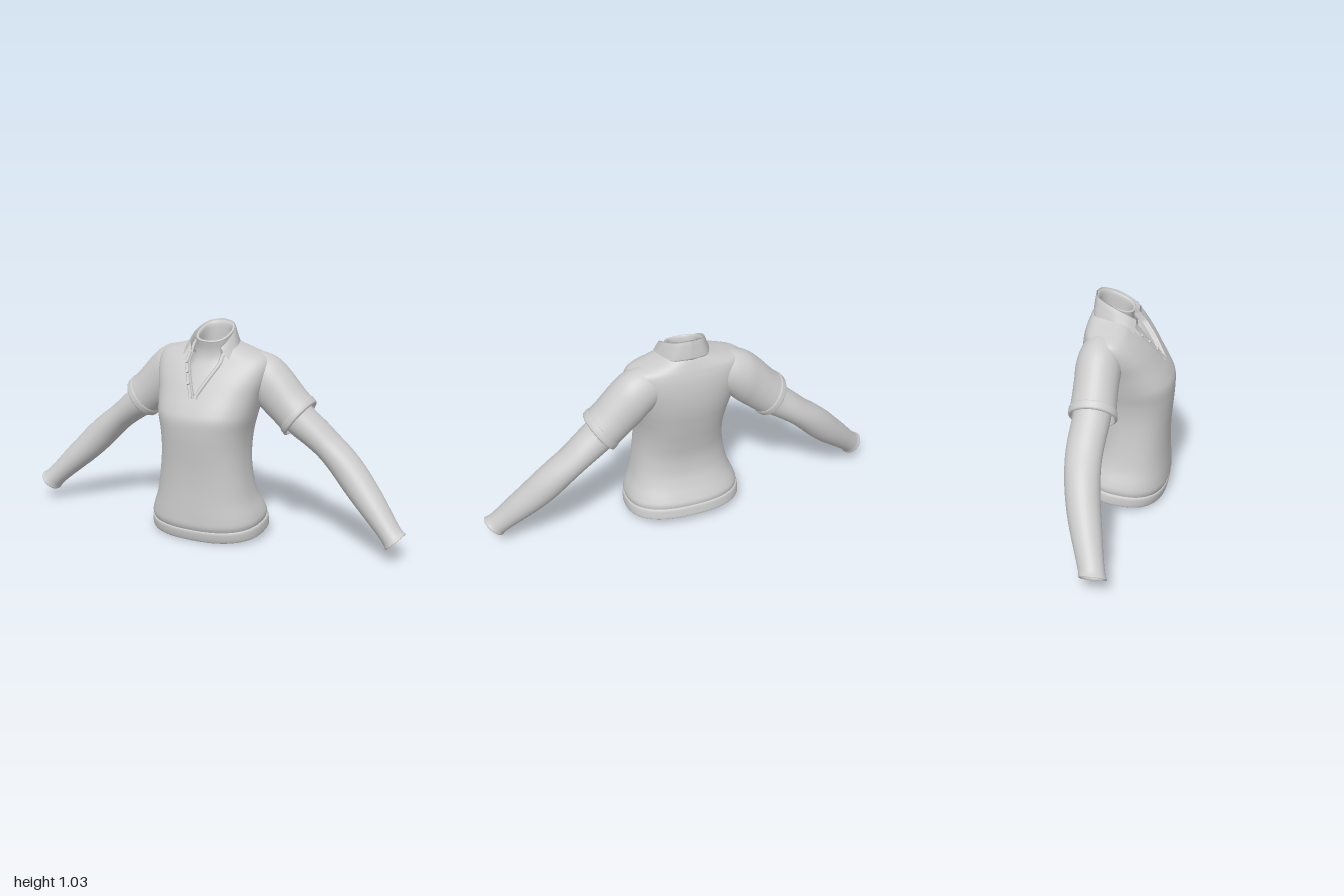
import * as THREE from 'three';

const cloth = new THREE.MeshStandardMaterial({ color: 0xcccccc, side: THREE.DoubleSide });

// Smooth interpolation through a table of rows, t in 0..rows-1
function rowAt(rows, t) {
  const n = rows.length - 1, i = Math.min(Math.floor(t), n - 1), f = t - i;
  const p = (k) => rows[Math.max(0, Math.min(n, k))];
  return rows[0].map((_, c) => {
    const a = p(i - 1)[c], b = p(i)[c], d = p(i + 1)[c], e = p(i + 2)[c];
    return b + 0.5 * f * (d - a + f * (2 * a - 5 * b + 4 * d - e + f * (3 * (b - d) + e - a)));
  });
}

// Grid surface from fn(u, v) -> [x, y, z]; normals are joined where the sides meet
function surface(name, nu, nv, fn) {
  const pos = [], index = [], w = nu + 1;
  for (let j = 0; j <= nv; j++) for (let i = 0; i <= nu; i++) pos.push(...fn(i / nu, j / nv));
  for (let j = 0; j < nv; j++) for (let i = 0; i < nu; i++) {
    const a = j * w + i;
    index.push(a, a + 1, a + w, a + 1, a + w + 1, a + w);
  }
  const g = new THREE.BufferGeometry();
  g.setAttribute('position', new THREE.Float32BufferAttribute(pos, 3));
  g.setIndex(index);
  g.computeVertexNormals();
  const P = g.attributes.position, N = g.attributes.normal;
  const v = (attr, k) => new THREE.Vector3().fromBufferAttribute(attr, k);
  for (let j = 0; j <= nv; j++) {
    const a = j * w, b = a + nu;
    if (v(P, a).distanceTo(v(P, b)) > 1e-4) continue;
    const m = v(N, a).add(v(N, b)).normalize();
    N.setXYZ(a, m.x, m.y, m.z);
    N.setXYZ(b, m.x, m.y, m.z);
  }
  const mesh = new THREE.Mesh(g, cloth);
  mesh.name = name;
  return mesh;
}

// Point on a rounded body section; row = [y, halfWidth, frontZ, backZ, tilt]
const POWER = 0.82;
const spow = (s) => Math.sign(s) * Math.pow(Math.abs(s), POWER);
function bodyPoint([y, w, f, b, tilt], th) {
  const c = (f + b) / 2, z = c + (f - b) / 2 * spow(Math.cos(th));
  return [w * spow(Math.sin(th)), y - (z - c) * tilt, z];
}

const torsoRows = [
  [0.08, 0.28, 0.20, -0.21, 0.13], [0.105, 0.284, 0.21, -0.21, 0.12], [0.14, 0.274, 0.21, -0.195, 0.1],
  [0.2, 0.25, 0.207, -0.168, 0.06], [0.27, 0.234, 0.205, -0.147, 0.02], [0.36, 0.221, 0.208, -0.142, 0],
  [0.45, 0.216, 0.216, -0.157, 0], [0.53, 0.222, 0.223, -0.175, 0], [0.6, 0.237, 0.223, -0.19, 0],
  [0.65, 0.247, 0.203, -0.2, 0], [0.71, 0.26, 0.168, -0.207, 0], [0.78, 0.28, 0.125, -0.208, 0],
  [0.84, 0.288, 0.08, -0.201, 0], [0.88, 0.27, 0.045, -0.19, 0], [0.905, 0.205, 0.03, -0.18, 0],
  [0.93, 0.125, 0.02, -0.168, 0], [0.95, 0.09, 0.01, -0.155, 0],
];
const V_ROW = 10, V_Y = 0.71;

// Angle of the neck opening's edge, moved sideways by extra
function openingAngle(row, extra = 0) {
  const h = Math.min(0.075, Math.max(0, (row[0] - V_Y) * 0.52)) + extra;
  return Math.asin(Math.pow(Math.min(1, h / row[1]), 1 / POWER));
}

// Ring loft for arms; row = [x, y, z, half height, half depth, lean of the axis]
function limb(name, rows, side, steps) {
  return surface(name, 32, (rows.length - 1) * steps, (u, v) => {
    const [x, y, z, r, rz, lean] = rowAt(rows, v * (rows.length - 1));
    const th = u * Math.PI * 2, k = r * Math.cos(th);
    return [side * (x + k * Math.sin(lean)), y + k * Math.cos(lean), z + rz * Math.sin(th)];
  });
}

const sleeveRows = [
  [0.17, 0.80, -0.095, 0.10, 0.09, 0.05], [0.22, 0.782, -0.098, 0.118, 0.10, 0.12],
  [0.272, 0.752, -0.10, 0.127, 0.105, 0.25], [0.32, 0.71, -0.10, 0.119, 0.103, 0.42],
  [0.375, 0.655, -0.10, 0.108, 0.104, 0.57], [0.418, 0.615, -0.099, 0.105, 0.107, 0.63],
];
const cuffRows = [
  [0.411, 0.623, -0.099, 0.103, 0.105, 0.63], [0.413, 0.62, -0.099, 0.109, 0.111, 0.63],
  [0.43, 0.602, -0.098, 0.109, 0.113, 0.64], [0.435, 0.597, -0.098, 0.106, 0.11, 0.64],
  [0.435, 0.597, -0.098, 0.098, 0.102, 0.64], [0.405, 0.63, -0.099, 0.094, 0.096, 0.63],
];
const armRows = [
  [0.36, 0.655, -0.10, 0.082, 0.088, 0.6], [0.44, 0.583, -0.105, 0.079, 0.087, 0.68],
  [0.51, 0.53, -0.112, 0.073, 0.086, 0.7], [0.575, 0.477, -0.115, 0.068, 0.084, 0.68],
  [0.64, 0.42, -0.11, 0.072, 0.082, 0.7], [0.705, 0.355, -0.098, 0.075, 0.08, 0.76],
  [0.77, 0.288, -0.08, 0.071, 0.077, 0.8], [0.835, 0.224, -0.058, 0.064, 0.071, 0.8],
  [0.9, 0.158, -0.034, 0.055, 0.063, 0.8], [0.94, 0.117, -0.018, 0.053, 0.06, 0.8],
  [0.956, 0.101, -0.012, 0.059, 0.063, 0.8], [0.958, 0.099, -0.011, 0.053, 0.057, 0.8],
  [0.945, 0.112, -0.015, 0.045, 0.05, 0.8], [0.89, 0.168, -0.038, 0.046, 0.053, 0.8],
];
const hemRows = [
  [0.085, 0.277, 0.197, -0.208, 0.13], [0.08, 0.288, 0.206, -0.217, 0.13], [0.055, 0.291, 0.203, -0.222, 0.14],
  [0.034, 0.29, 0.196, -0.225, 0.14], [0.031, 0.284, 0.19, -0.22, 0.14], [0.04, 0.278, 0.185, -0.213, 0.14],
  [0.09, 0.272, 0.19, -0.2, 0.13],
];
const neckRows = [
  [0.66, 0.11, 0.16, -0.1, 0], [0.72, 0.125, 0.127, -0.11, 0], [0.79, 0.12, 0.08, -0.125, 0],
  [0.86, 0.1, 0.035, -0.14, 0.1], [0.92, 0.087, 0.024, -0.142, 0.25], [0.975, 0.087, 0.03, -0.146, 0.38],
  [0.985, 0.086, 0.032, -0.148, 0.4], [0.985, 0.077, 0.023, -0.139, 0.4], [0.96, 0.072, 0.015, -0.132, 0.38],
  [0.88, 0.072, 0.01, -0.13, 0.2],
];

function bodyLoft(name, rows, steps) {
  return surface(name, 64, (rows.length - 1) * steps, (u, v) =>
    bodyPoint(rowAt(rows, v * (rows.length - 1)), u * Math.PI * 2));
}

// Half outlines of the collar from centre back to front tip
const collarTop = [[0, 1.025, -0.152], [0.065, 1.015, -0.132], [0.1, 0.987, -0.06], [0.1, 0.952, 0.01], [0.085, 0.925, 0.048]];
const collarEdge = [[0, 0.94, -0.166], [0.085, 0.933, -0.145], [0.132, 0.907, -0.06], [0.15, 0.875, 0], [0.143, 0.846, 0.04]];

export function createModel() {
  const shirt = new THREE.Group();
  shirt.name = 'poloShirt';

  // Torso whose sides part at the front to leave the neck opening
  const last = torsoRows.length - 1;
  shirt.add(surface('torso', 72, last * 5, (u, v) => {
    const row = rowAt(torsoRows, v * last), a = openingAngle(row);
    return bodyPoint(row, a + u * (Math.PI * 2 - 2 * a));
  }));
  shirt.add(bodyLoft('hemBand', hemRows, 3));
  shirt.add(bodyLoft('neck', neckRows, 4));

  // Placket strips with a turned-in edge
  const plackRow = (v) => rowAt(torsoRows, V_ROW - 0.15 + v * 3.6);
  for (const side of [1, -1]) {
    shirt.add(surface('placket', 6, 18, (u, v) => {
      const row = plackRow(v);
      const p = bodyPoint(row, openingAngle(row, u * 0.024));
      const lift = u === 0 ? -0.014 : u === 1 ? -0.003 : 0.007;
      return [side * p[0], p[1] + lift * 0.5, p[2] + lift];
    }));
  }

  // Buttons on the right placket
  for (const v of [0.25, 0.45, 0.65]) {
    const row = plackRow(v);
    const p = bodyPoint(row, openingAngle(row, 0.012));
    const button = new THREE.Mesh(new THREE.CylinderGeometry(0.008, 0.009, 0.007, 16), cloth);
    button.name = 'button';
    button.position.set(-p[0], p[1] + 0.005, p[2] + 0.01);
    button.rotation.x = 0.95;
    shirt.add(button);
  }

  // Folded collar: outer leaf, fold and inner stand
  shirt.add(surface('collar', 48, 8, (u, v) => {
    const s = u * 2 - 1, side = Math.sign(s), t = Math.abs(s) * 4;
    const top = rowAt(collarTop, t), edge = rowAt(collarEdge, t);
    const inset = ([x, y, z], k, dy) => [x * k, y + dy, -0.055 + (z + 0.055) * k];
    const rows = [inset(edge, 0.95, 0.003), edge, edge.map((e, c) => (e + top[c]) / 2), top,
      inset(top, 0.93, 0.001), inset(top, 0.89, -0.07)];
    const p = rowAt(rows, v * 5);
    return [side * p[0], p[1], p[2]];
  }));

  // Short sleeves and the long arms beneath them
  for (const side of [1, -1]) {
    const tag = side > 0 ? 'left' : 'right';
    shirt.add(limb(tag + 'Sleeve', sleeveRows, side, 5));
    shirt.add(limb(tag + 'SleeveCuff', cuffRows, side, 3));
    shirt.add(limb(tag + 'Arm', armRows, side, 4));
  }
  return shirt;
}
